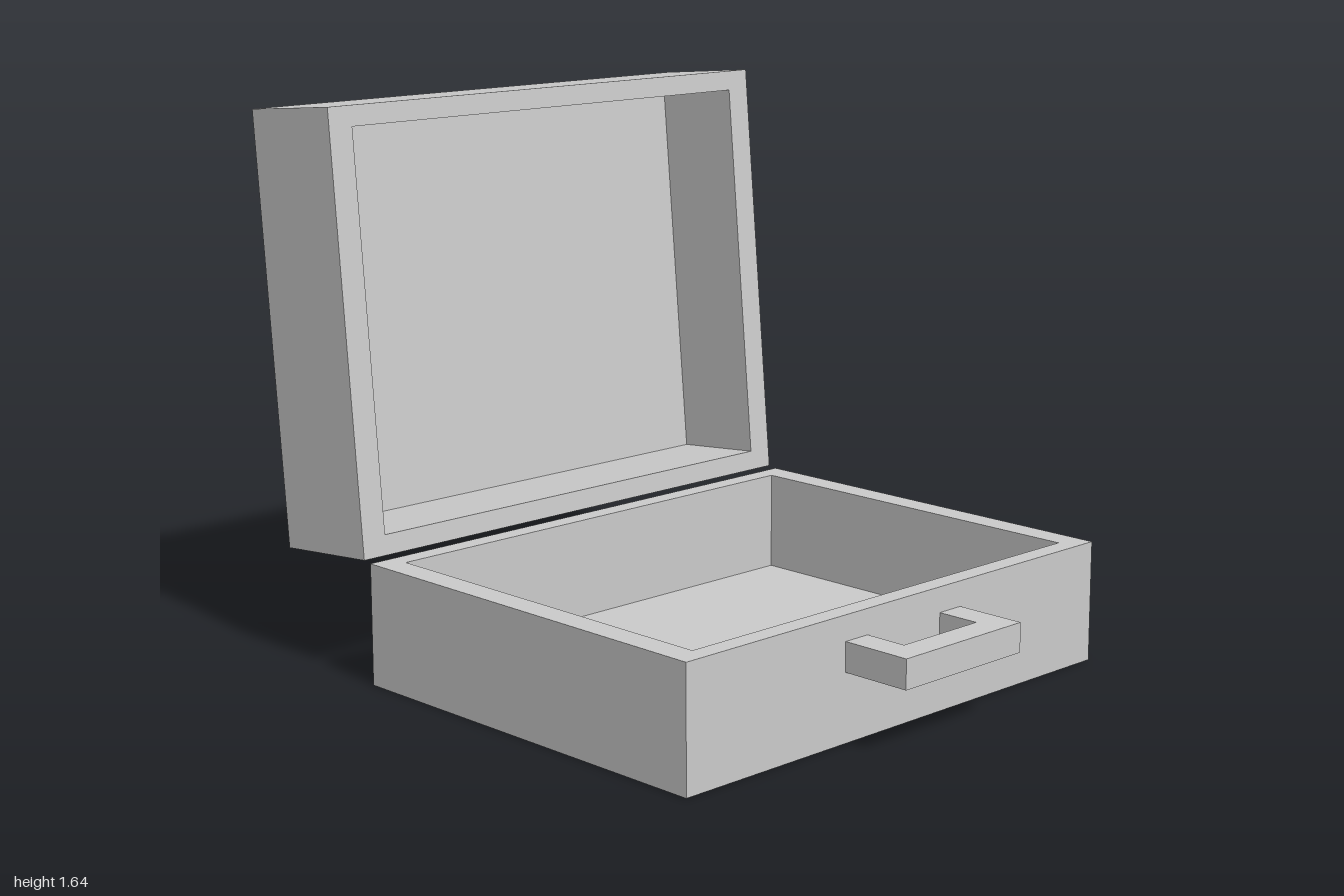
import * as THREE from 'three';

const material = new THREE.MeshStandardMaterial({ color: 0xcccccc, flatShading: true });

const LENGTH = 1.285, WIDTH = 1.652, HEIGHT = 0.36;
const RIM_X = 0.06, RIM_Z = 0.08, FLOOR = 0.06;

function rectangle(path, w, h) {
  path.moveTo(-w / 2, -h / 2);
  path.lineTo(w / 2, -h / 2);
  path.lineTo(w / 2, h / 2);
  path.lineTo(-w / 2, h / 2);
  path.closePath();
  return path;
}

// Extrude a plan drawn in x and z upwards along y
function extrudeUp(shape, depth) {
  return new THREE.ExtrudeGeometry(shape, { depth, bevelEnabled: false }).rotateX(-Math.PI / 2);
}

function addMesh(parent, name, geometry) {
  const mesh = new THREE.Mesh(geometry, material);
  mesh.name = name;
  parent.add(mesh);
  return mesh;
}

// Open box: a wall frame around a floor panel
function tray(name) {
  const group = new THREE.Group();
  group.name = name;
  const innerL = LENGTH - 2 * RIM_X, innerW = WIDTH - 2 * RIM_Z;
  const frame = rectangle(new THREE.Shape(), LENGTH, WIDTH);
  frame.holes.push(rectangle(new THREE.Path(), innerL, innerW));
  addMesh(group, name + 'Walls', extrudeUp(frame, HEIGHT));
  addMesh(group, name + 'Panel', new THREE.BoxGeometry(innerL, FLOOR, innerW).translate(0, FLOOR / 2, 0));
  return group;
}

export function createModel() {
  const model = new THREE.Group();
  model.name = 'openCase';

  // Bottom half, lying flat
  const base = tray('base');
  base.position.x = 0.143;
  model.add(base);

  // Lid, swung open and leaning slightly back
  const lid = tray('lid');
  lid.rotation.z = -THREE.MathUtils.degToRad(84.9);
  lid.position.set(-0.943, 0.972, 0);
  model.add(lid);

  // Square-cut carrying handle
  const handle = new THREE.Shape([
    [0.785, -0.235], [1, -0.235], [1, 0.235], [0.785, 0.235],
    [0.785, 0.148], [0.915, 0.148], [0.915, -0.148], [0.785, -0.148],
  ].map(([x, z]) => new THREE.Vector2(x, z)));
  addMesh(model, 'handle', extrudeUp(handle, 0.086)).position.y = 0.2;

  return model;
}
